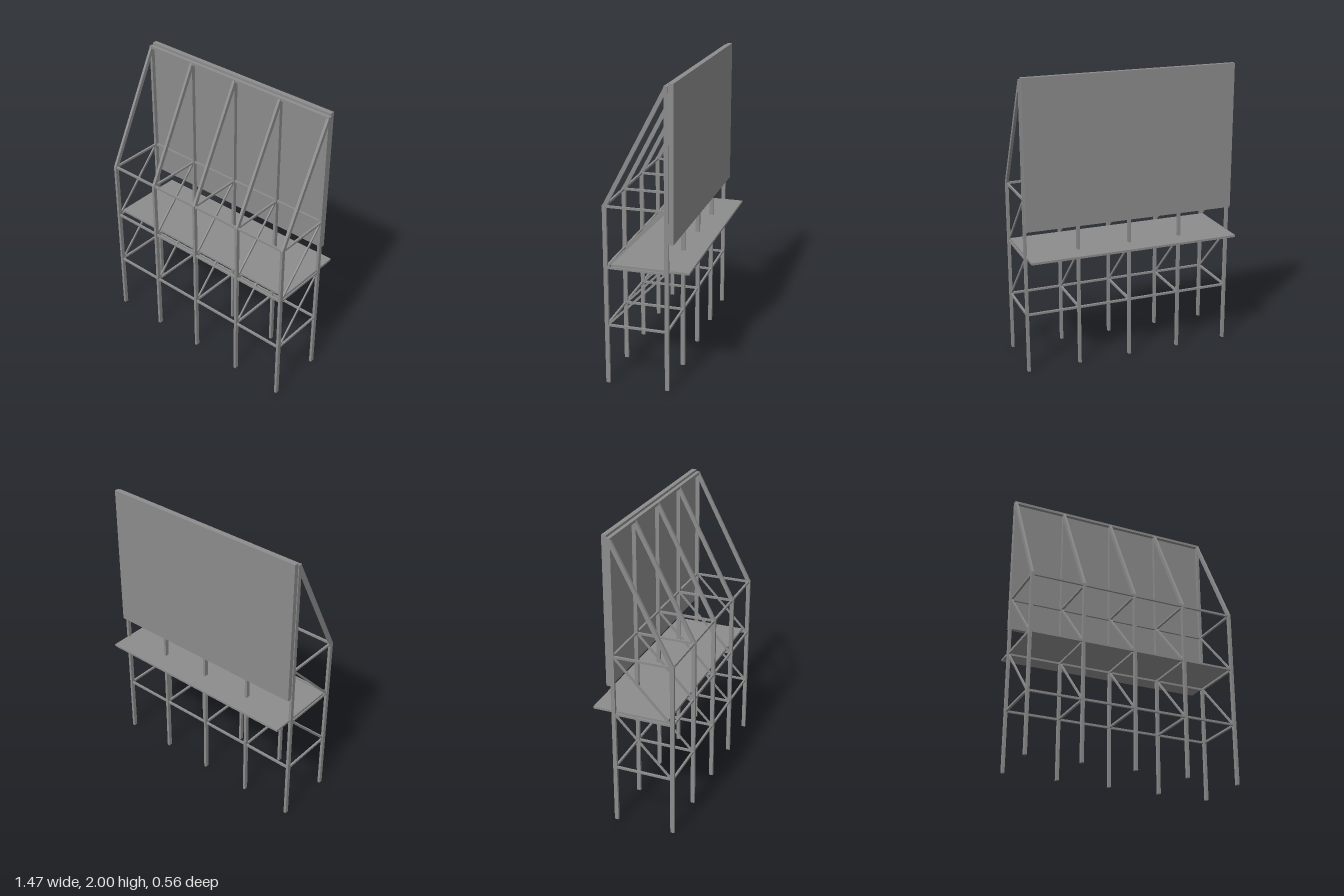
import * as THREE from 'three';

const steel = new THREE.MeshStandardMaterial({ color: 0x8c8c8c });
steel.name = 'grey steel';

const FRONT = 0.262, BACK = -0.138;

// Rectangular bar between two points; w is across, d is the depth of the section.
function bar(parent, name, a, b, w, d) {
  const A = new THREE.Vector3(...a), B = new THREE.Vector3(...b);
  const dir = B.clone().sub(A), len = dir.length();
  dir.normalize();
  const side = Math.abs(dir.x) > 0.9 ? new THREE.Vector3(0, 0, 1) : new THREE.Vector3(1, 0, 0);
  const third = new THREE.Vector3().crossVectors(side, dir);
  const mesh = new THREE.Mesh(new THREE.BoxGeometry(w, len, d), steel);
  mesh.quaternion.setFromRotationMatrix(new THREE.Matrix4().makeBasis(side, dir, third));
  mesh.position.copy(A).add(B).multiplyScalar(0.5);
  mesh.name = name;
  parent.add(mesh);
}

function panel(parent, name, min, max) {
  const size = max.map((v, i) => v - min[i]);
  const mesh = new THREE.Mesh(new THREE.BoxGeometry(...size), steel);
  mesh.position.set(...max.map((v, i) => (v + min[i]) / 2));
  mesh.name = name;
  parent.add(mesh);
}

export function createModel() {
  const model = new THREE.Group();
  model.name = 'billboard';
  const levels = [0.41, 0.807, 1.212];

  // Five upright truss frames
  for (let i = -2; i <= 2; i++) {
    const x = i * 0.3635;
    const frame = new THREE.Group();
    frame.name = 'trussFrame';
    bar(frame, 'frontPost', [x, 0, FRONT], [x, 1.22, FRONT], 0.018, 0.027);
    bar(frame, 'backPost', [x, 0, BACK], [x, 1.985, BACK], 0.018, 0.027);
    bar(frame, 'slopingStrut', [x, 1.212, FRONT], [x, 1.975, BACK], 0.018, 0.026);
    for (const y of levels) bar(frame, 'crossBar', [x, y, FRONT], [x, y, BACK], 0.014, 0.014);
    for (let k = 0; k < 2; k++) {
      bar(frame, 'diagonalBrace', [x, levels[k] + 0.005, FRONT - 0.01],
        [x, levels[k + 1] - 0.005, BACK + 0.01], 0.009, 0.014);
    }
    model.add(frame);
  }

  // Long rails joining the frames
  for (const y of levels) {
    for (const z of [FRONT, BACK]) bar(model, 'longRail', [-0.727, y, z], [0.727, y, z], 0.014, 0.014);
  }
  bar(model, 'topRail', [-0.73, 1.976, BACK], [0.73, 1.976, BACK], 0.025, 0.018);

  // Walkway and display board
  panel(model, 'walkway', [-0.727, 0.815, -0.283], [0.727, 0.83, 0.226]);
  panel(model, 'displayBoard', [-0.73, 1.003, -0.183], [0.73, 2, -0.151]);
  return model;
}
